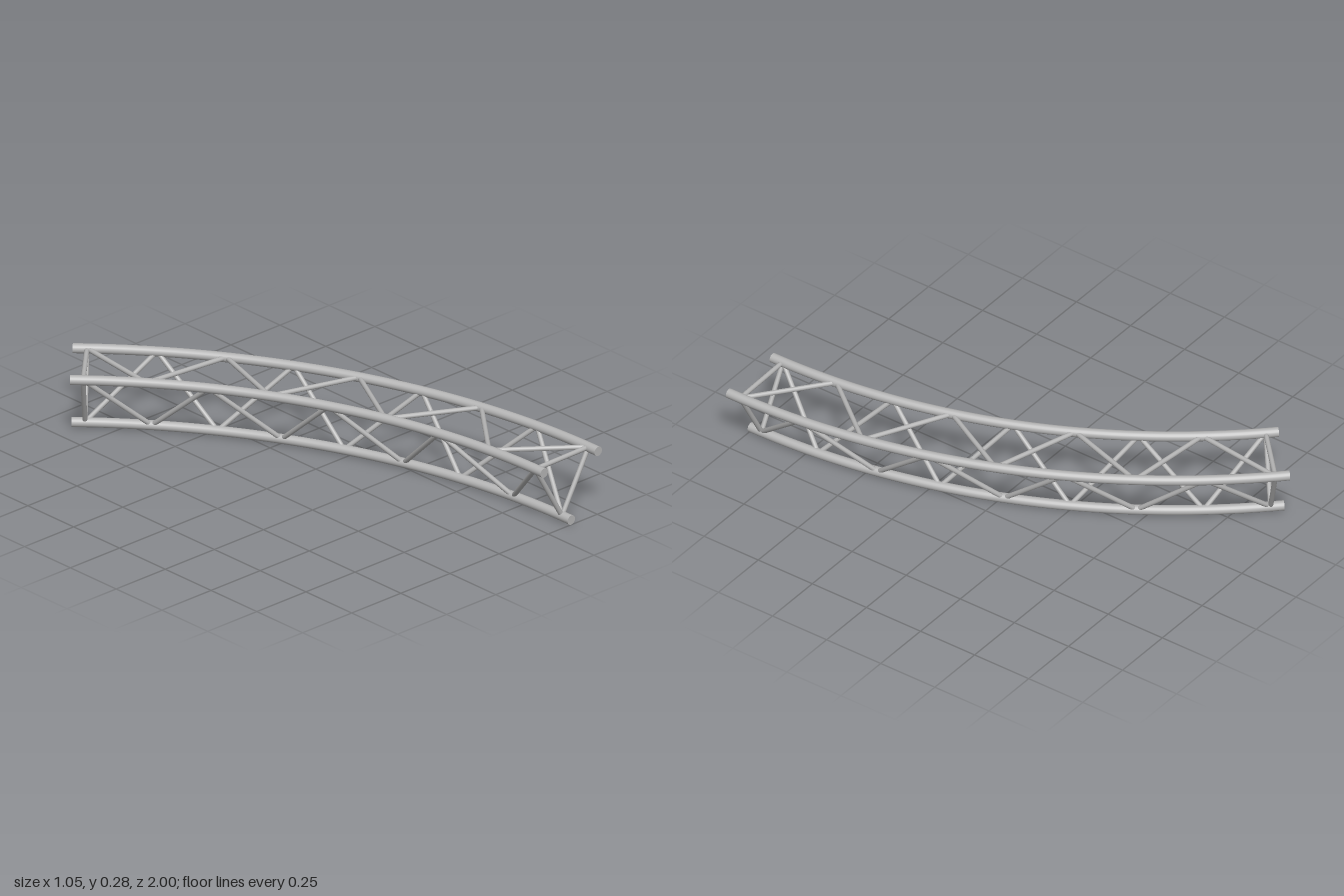
import * as THREE from 'three';

const CENTRE_X = -2.304, CENTRE_Z = 1;      // centre of the bend
const SWEEP = Math.PI / 4;
const CHORD_R = 0.019, BRACE_R = 0.0095;
const CHORDS = {
  inner: { radius: 2.534, y: 0.258 },
  outer: { radius: 2.809, y: 0.258 },
  lower: { radius: 2.672, y: 0.019 },
};

// Point on a chord's centre line at a given bend angle
function pointOn(chord, angle) {
  return new THREE.Vector3(
    CENTRE_X + chord.radius * Math.cos(angle), chord.y,
    CENTRE_Z - chord.radius * Math.sin(angle));
}

class ChordCurve extends THREE.Curve {
  constructor(chord) { super(); this.chord = chord; }
  getPoint(t, target = new THREE.Vector3()) {
    return target.copy(pointOn(this.chord, t * SWEEP));
  }
}

export function createModel() {
  const model = new THREE.Group();
  model.name = 'curvedTriangularTruss';
  const metal = new THREE.MeshStandardMaterial({ color: 0xb4b4b4 });
  metal.name = 'aluminium grey';

  function add(parent, name, geometry) {
    const mesh = new THREE.Mesh(geometry, metal);
    mesh.name = name;
    parent.add(mesh);
    return mesh;
  }

  // Three main chords with flat end caps
  for (const [name, chord] of Object.entries(CHORDS)) {
    const group = new THREE.Group();
    group.name = name + 'Chord';
    add(group, 'tube', new THREE.TubeGeometry(new ChordCurve(chord), 48, CHORD_R, 20));
    for (const [angle, turn] of [[0, 0], [SWEEP, Math.PI]]) {
      const cap = add(group, 'endCap', new THREE.CircleGeometry(CHORD_R, 20));
      cap.position.copy(pointOn(chord, angle));
      cap.rotation.y = angle + turn;
    }
    model.add(group);
  }

  // Straight brace between two points
  const up = new THREE.Vector3(0, 1, 0);
  function brace(parent, name, a, b) {
    const dir = b.clone().sub(a);
    const mesh = add(parent, name, new THREE.CylinderGeometry(BRACE_R, BRACE_R, dir.length(), 12));
    mesh.position.copy(a).add(b).multiplyScalar(0.5);
    mesh.quaternion.setFromUnitVectors(up, dir.normalize());
  }

  // Zigzag lacing on each face, closed by a cross bar at both ends
  const BAYS = 8, MARGIN = THREE.MathUtils.degToRad(1.08);
  const node = i => MARGIN + (SWEEP - 2 * MARGIN) * i / BAYS;
  const faces = [
    ['topLacing', CHORDS.outer, CHORDS.inner],
    ['innerLacing', CHORDS.inner, CHORDS.lower],
    ['outerLacing', CHORDS.lower, CHORDS.outer],
  ];
  for (const [name, even, odd] of faces) {
    const group = new THREE.Group();
    group.name = name;
    const at = i => pointOn(i % 2 ? odd : even, node(i));
    for (let i = 0; i < BAYS; i++) brace(group, 'diagonalBrace', at(i), at(i + 1));
    for (const i of [0, BAYS]) brace(group, 'endBar', pointOn(even, node(i)), pointOn(odd, node(i)));
    model.add(group);
  }
  return model;
}
